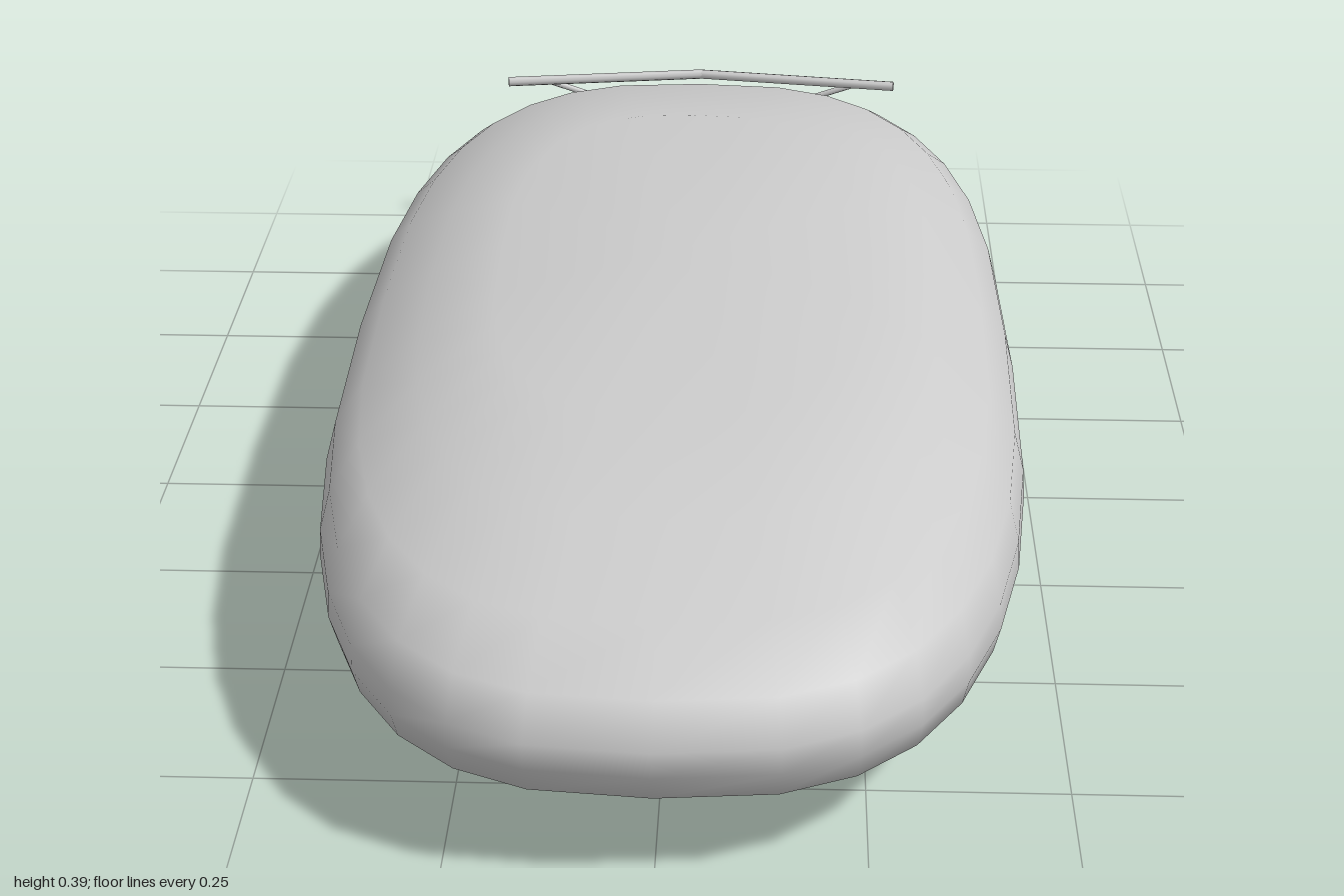
import * as THREE from 'three';

const material = new THREE.MeshStandardMaterial({ color: 0xcccccc });

// Pebble body: stacked rounded-oblong rings, each [height, half width, half length]
function bodyGeometry() {
  const rings = [
    [0, 0, 0], [0, 0.26, 0.56], [0.045, 0.345, 0.76], [0.087, 0.42, 0.9], [0.13, 0.463, 0.965],
    [0.17, 0.471, 0.985], [0.21, 0.468, 0.995], [0.26, 0.455, 0.965],
    [0.302, 0.42, 0.87], [0.345, 0.35, 0.7], [0.386, 0.25, 0.51], [0.386, 0, 0],
  ];
  const sides = 32, power = 2 / 2.8;
  const bend = (v) => Math.sign(v) * Math.abs(v) ** power;
  const positions = [], index = [];
  rings.forEach(([y, a, b], i) => {
    for (let j = 0; j < sides; j++) {
      const t = (j / sides) * Math.PI * 2;
      positions.push(a * bend(Math.cos(t)), y, b * bend(Math.sin(t)));
      if (i === rings.length - 1) continue;
      const p = i * sides + j, q = i * sides + ((j + 1) % sides);
      index.push(p, p + sides, q, q, p + sides, q + sides);
    }
  });
  const geometry = new THREE.BufferGeometry();
  geometry.setAttribute('position', new THREE.Float32BufferAttribute(positions, 3));
  geometry.setIndex(index);
  geometry.computeVertexNormals();
  return geometry;
}

// Thin rods joining a list of points
function rods(name, points, radius) {
  const group = new THREE.Group();
  group.name = name;
  const up = new THREE.Vector3(0, 1, 0);
  for (let i = 0; i < points.length - 1; i++) {
    const a = new THREE.Vector3(...points[i]), b = new THREE.Vector3(...points[i + 1]);
    const dir = b.clone().sub(a);
    const rod = new THREE.Mesh(new THREE.CylinderGeometry(radius, radius, dir.length(), 8), material);
    rod.name = name + 'Rod';
    rod.position.copy(a).add(b).multiplyScalar(0.5);
    rod.quaternion.setFromUnitVectors(up, dir.normalize());
    group.add(rod);
  }
  return group;
}

export function createModel() {
  const model = new THREE.Group();
  model.name = 'pebble';

  const body = new THREE.Mesh(bodyGeometry(), material);
  body.name = 'body';
  model.add(body);

  // Two long bent bars across the back end
  for (const [name, y] of [['upperBar', 0.283], ['lowerBar', 0.11]]) {
    model.add(rods(name, [[-0.325, y, -0.92], [0, y, -0.968], [0.325, y, -0.92]], 0.008));
  }

  // Sideways V marks between the bars, opening outwards
  for (const [name, s] of [['leftMark', 1], ['rightMark', -1]]) {
    model.add(rods(name, [[s * 0.27, 0.265, -0.982], [s * 0.15, 0.22, -0.993], [s * 0.25, 0.17, -0.984]], 0.005));
  }
  return model;
}
